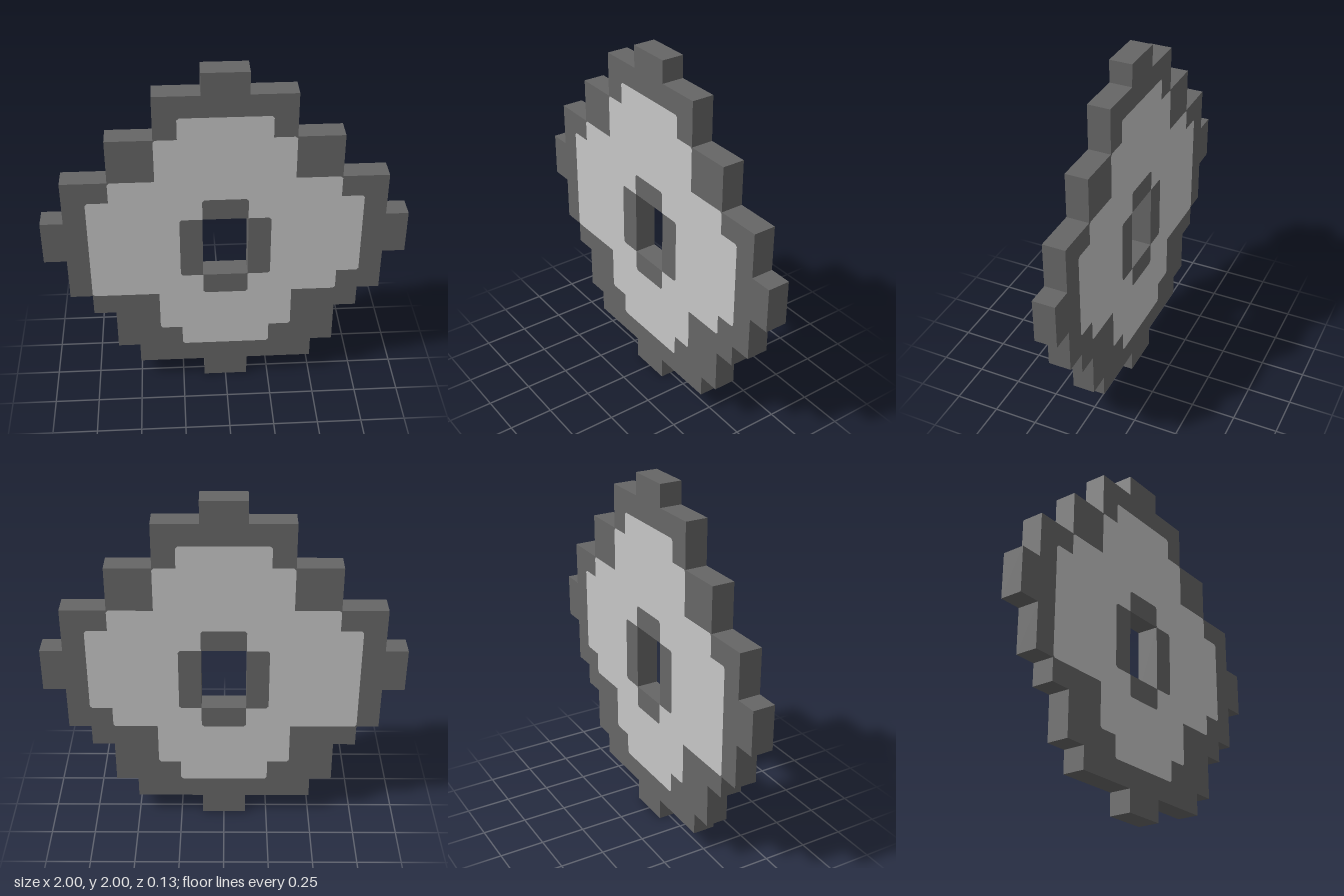
import * as THREE from 'three';

const U = 0.125; // one pixel of the stepped design
const DEPTH = 0.125;

// Stepped closed outline from rows of [yBottom, yTop, xLeft, xRight], in pixels
function steppedOutline(rows) {
  const right = rows.flatMap(([y0, y1, , r]) => [[r, y0], [r, y1]]);
  const left = rows.flatMap(([y0, y1, l]) => [[l, y0], [l, y1]]).reverse();
  return [...right, ...left]
    .map(([x, y]) => new THREE.Vector2(x * U, y * U))
    .filter((p, i, a) => !p.equals(a[(i + 1) % a.length]));
}

// Clip the outward corners of a counter-clockwise outline
function clipCorners(points, size) {
  return points.flatMap((p, i) => {
    const a = points[(i + points.length - 1) % points.length].clone().sub(p).normalize();
    const b = points[(i + 1) % points.length].clone().sub(p).normalize();
    if (b.cross(a) < 0.5) return [p];
    return [p.clone().addScaledVector(a, size), p.clone().addScaledVector(b, size)];
  });
}

const mirrored = rows => rows.map(([y0, y1, half]) => [y0, y1, -half, half]);

export function createModel() {
  const model = new THREE.Group();
  const darkGrey = new THREE.MeshStandardMaterial({ color: 0x666666 });
  darkGrey.name = 'darkGrey';
  const lightGrey = new THREE.MeshStandardMaterial({ color: 0xc6c6c6 });
  lightGrey.name = 'lightGrey';

  // Dark body with a rectangular hole
  const body = new THREE.Shape(steppedOutline(mirrored([
    [0, 1, 1], [1, 2, 4], [2, 4, 5], [4, 5, 6], [5, 7, 7],
    [7, 9, 8], [9, 11, 7], [11, 13, 5], [13, 15, 3], [15, 16, 1],
  ])));
  body.holes.push(new THREE.Path(steppedOutline(mirrored([[6, 9, 1]])).reverse()));
  const bodyGeometry = new THREE.ExtrudeGeometry(body, { depth: DEPTH, bevelEnabled: false });
  bodyGeometry.translate(0, 0, -DEPTH / 2);
  const bodyMesh = new THREE.Mesh(bodyGeometry, darkGrey);
  bodyMesh.name = 'body';
  model.add(bodyMesh);

  // Light inlay, leaving a dark cross around the hole
  const inlay = new THREE.Shape(clipCorners(steppedOutline([
    [2, 3, -2, 2], [3, 5, -3, 3], [5, 6, -6, 5], [6, 10, -6, 6],
    [10, 11, -5, 5], [11, 13, -3, 3], [13, 14, -2, 2],
  ]), 0.012));
  const cross = steppedOutline(mirrored([[5, 6, 1], [6, 9, 2], [9, 10, 1]]));
  inlay.holes.push(new THREE.Path(clipCorners(cross, 0.012).reverse()));
  const inlayGeometry = new THREE.ShapeGeometry(inlay);

  // Same inlay on both faces; the back one is flipped to face outward
  const front = new THREE.Mesh(inlayGeometry, lightGrey);
  front.name = 'frontInlay';
  front.position.z = DEPTH / 2 + 0.001;
  const backGeometry = inlayGeometry.clone();
  const index = backGeometry.index;
  for (let i = 0; i < index.count; i += 3) {
    const b = index.getX(i + 1);
    index.setX(i + 1, index.getX(i + 2));
    index.setX(i + 2, b);
  }
  backGeometry.computeVertexNormals();
  const back = new THREE.Mesh(backGeometry, lightGrey);
  back.name = 'backInlay';
  back.position.z = -DEPTH / 2 - 0.001;
  model.add(front, back);

  return model;
}
